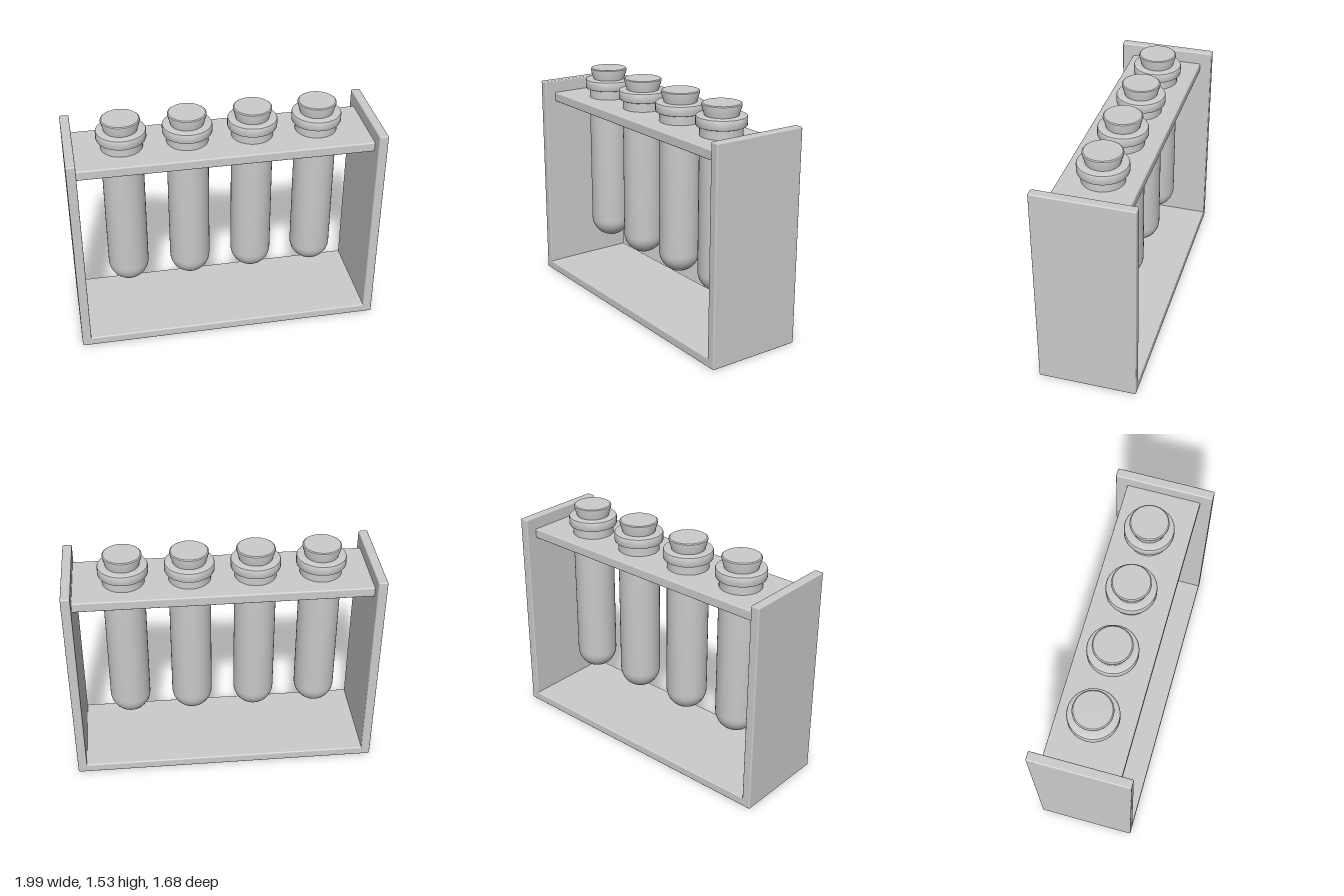
import * as THREE from 'three';
import { toCreasedNormals } from 'three/addons/utils/BufferGeometryUtils.js';
import { RoundedBoxGeometry } from 'three/addons/geometries/RoundedBoxGeometry.js';

const LENGTH = 2, WIDTH = 0.64, HEIGHT = 1.41, BOARD = 0.06;
const TUBE_RADIUS = 0.134, TUBE_BOTTOM = 0.305, TUBE_TOP = 1.39;

const material = new THREE.MeshStandardMaterial({ color: 0xcccccc });

function addMesh(parent, name, geometry, x = 0, y = 0, z = 0) {
  const mesh = new THREE.Mesh(geometry, material);
  mesh.name = name;
  mesh.position.set(x, y, z);
  parent.add(mesh);
  return mesh;
}

// Board with slightly softened edges
const board = (w, h, d) => new RoundedBoxGeometry(w, h, d, 2, 0.009);

// Turned part from [radius, height] pairs, listed bottom to top
function turned(profile) {
  const points = profile.map(([r, y]) => new THREE.Vector2(r, y));
  return toCreasedNormals(new THREE.LatheGeometry(points, 40), 0.6);
}

function createTube() {
  const tube = new THREE.Group();
  tube.name = 'testTube';

  // Glass body with a hemispherical bottom
  const body = [];
  for (let i = 0; i <= 10; i++) {
    const a = (i / 10) * Math.PI / 2;
    body.push([TUBE_RADIUS * Math.sin(a), TUBE_BOTTOM + TUBE_RADIUS * (1 - Math.cos(a))]);
  }
  body.push([TUBE_RADIUS, TUBE_TOP]);
  addMesh(tube, 'tubeBody', turned(body));

  // Rounded lip around the mouth
  addMesh(tube, 'tubeLip', turned([
    [0.1, 1.385], [0.149, 1.385], [0.156, 1.388], [0.159, 1.395],
    [0.159, 1.441], [0.156, 1.448], [0.149, 1.451], [0.1, 1.451],
  ]));

  // Tapered stopper
  addMesh(tube, 'stopper', turned([
    [0, 1.4], [0.1, 1.4], [0.106, 1.45], [0.124, 1.513],
    [0.123, 1.521], [0.116, 1.526], [0, 1.526],
  ]));
  return tube;
}

export function createModel() {
  const model = new THREE.Group();
  model.name = 'testTubeRack';

  // The rack stands turned about the vertical axis
  const rack = new THREE.Group();
  rack.name = 'rack';
  rack.rotation.y = -THREE.MathUtils.degToRad(35.6);
  model.add(rack);

  // Frame: base, two end panels and the shelf that holds the tubes
  const inner = LENGTH - 2 * BOARD;
  addMesh(rack, 'base', board(LENGTH - BOARD, BOARD, WIDTH), 0, BOARD / 2, 0);
  for (const side of [-1, 1]) {
    addMesh(rack, side > 0 ? 'leftPanel' : 'rightPanel', board(BOARD, HEIGHT, WIDTH),
      side * (LENGTH - BOARD) / 2, HEIGHT / 2, 0);
  }
  addMesh(rack, 'shelf', board(inner + 0.02, 0.065, 0.486), 0, 1.293, 0);

  // Row of four stoppered tubes
  for (let i = 0; i < 4; i++) {
    const tube = createTube();
    tube.position.set((i - 1.5) * 0.418 - 0.008, 0, -0.012);
    rack.add(tube);
  }
  return model;
}
